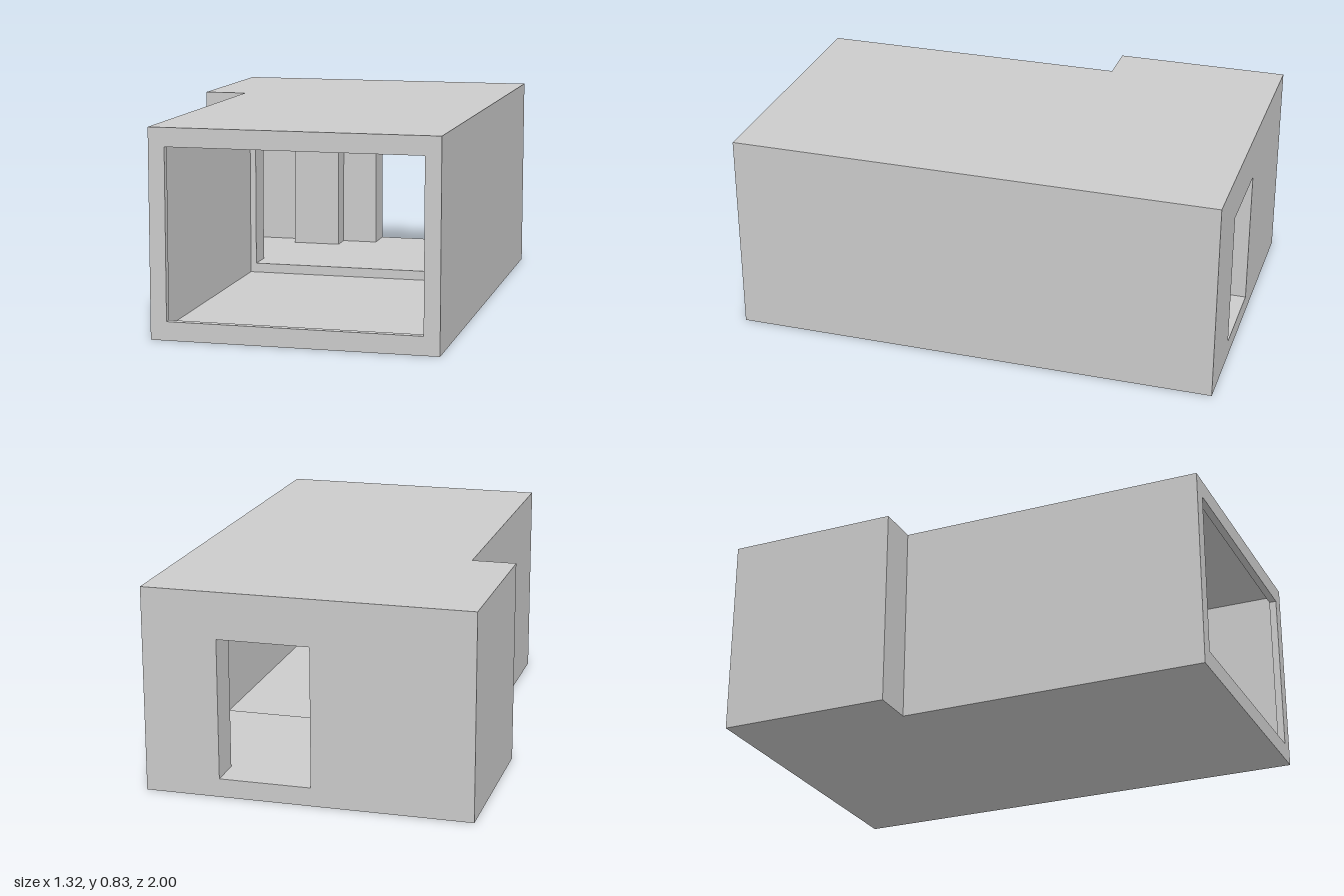
import * as THREE from 'three';

const H = 0.83;
// Rectangles as [x0, y0, x1, y1]
const OPENING = [-0.415, 0.075, 0.597, 0.755];
const HALL = [-0.44, 0.035, 0.63, 0.795];
const BACK_ROOM = [-0.6, 0.075, 0.597, 0.755];
const DOOR = [-0.015, 0.075, 0.357, 0.642];

const corners = ([x0, y0, x1, y1]) => [[x0, y0], [x1, y0], [x1, y1], [x0, y1]];
const vectors = (pts) => pts.map(([x, y]) => new THREE.Vector2(x, y));

export function createModel() {
  const model = new THREE.Group();
  const material = new THREE.MeshStandardMaterial({ color: 0xcccccc, flatShading: true });

  function add(name, geometry) {
    const mesh = new THREE.Mesh(geometry, material);
    mesh.name = name;
    model.add(mesh);
    return mesh;
  }

  // Upright flat wall at depth z, facing +z or -z, with an optional hole
  function wall(name, pts, z, facing, hole) {
    const flip = ([x, y]) => [x * facing, y];
    const shape = new THREE.Shape(vectors(pts.map(flip)));
    if (hole) shape.holes.push(new THREE.Path(vectors(corners(hole).map(flip))));
    const mesh = add(name, new THREE.ShapeGeometry(shape));
    if (facing < 0) mesh.rotation.y = Math.PI;
    mesh.position.z = z;
  }

  // Joins matching points of two loops with quads
  function bridge(name, a, b, skip = []) {
    const pos = [];
    a.forEach((p, i) => {
      if (skip.includes(i)) return;
      const j = (i + 1) % a.length;
      pos.push(...p, ...a[j], ...b[j], ...p, ...b[j], ...b[i]);
    });
    const geometry = new THREE.BufferGeometry();
    geometry.setAttribute('position', new THREE.Float32BufferAttribute(pos, 3));
    geometry.computeVertexNormals();
    add(name, geometry);
  }

  // Rectangular tunnel whose faces point inwards
  function tunnel(name, rect, zBack, zFront) {
    const loop = (z) => corners(rect).map(([x, y]) => [x, y, z]);
    bridge(name, loop(zFront), loop(zBack));
  }

  // L-shaped outer shell: roof, underside and side walls
  const plan = [[-0.48, 1], [0.66, 1], [0.66, -1], [-0.66, -1], [-0.66, -0.28], [-0.48, -0.28]];
  const roof = new THREE.ShapeGeometry(new THREE.Shape(vectors(plan.map(([x, z]) => [x, -z]))));
  add('roof', roof.rotateX(-Math.PI / 2).translate(0, H, 0));
  const under = new THREE.ShapeGeometry(new THREE.Shape(vectors(plan)));
  add('underside', under.rotateX(Math.PI / 2));
  const level = (y) => plan.map(([x, z]) => [x, y, z]);
  bridge('outerWalls', level(0), level(H), [0, 2]);

  // Front rim and hall behind it
  wall('frontRim', corners([-0.48, 0, 0.66, H]), 1, 1, OPENING);
  tunnel('frontOpening', OPENING, 0.97, 1);
  wall('frontRimInside', corners(HALL), 0.97, -1, OPENING);
  tunnel('hall', HALL, -0.22, 0.97);

  // Passage between the hall and the back room
  wall('passageRim', corners(HALL), -0.22, 1, OPENING);
  tunnel('passage', OPENING, -0.34, -0.22);
  wall('alcoveFrontWall', corners([-0.6, 0.075, -0.415, 0.755]), -0.34, -1);

  // Back room and its thick end wall with a doorway
  tunnel('backRoom', BACK_ROOM, -0.86, -0.34);
  const [x0, y0, x1, y1] = BACK_ROOM;
  const [d0, , d1, dTop] = DOOR;
  wall('endWallInside', [[x0, y0], [d0, y0], [d0, dTop], [d1, dTop], [d1, y0], [x1, y0], [x1, y1], [x0, y1]], -0.86, 1);
  tunnel('doorway', DOOR, -1, -0.86);
  wall('endWallOutside', corners([-0.66, 0, 0.66, H]), -1, -1, DOOR);

  // Tall cupboard beside the doorway
  add('cupboard', new THREE.BoxGeometry(0.212, 0.676, 0.1).translate(-0.278, 0.413, -0.81));

  return model;
}
